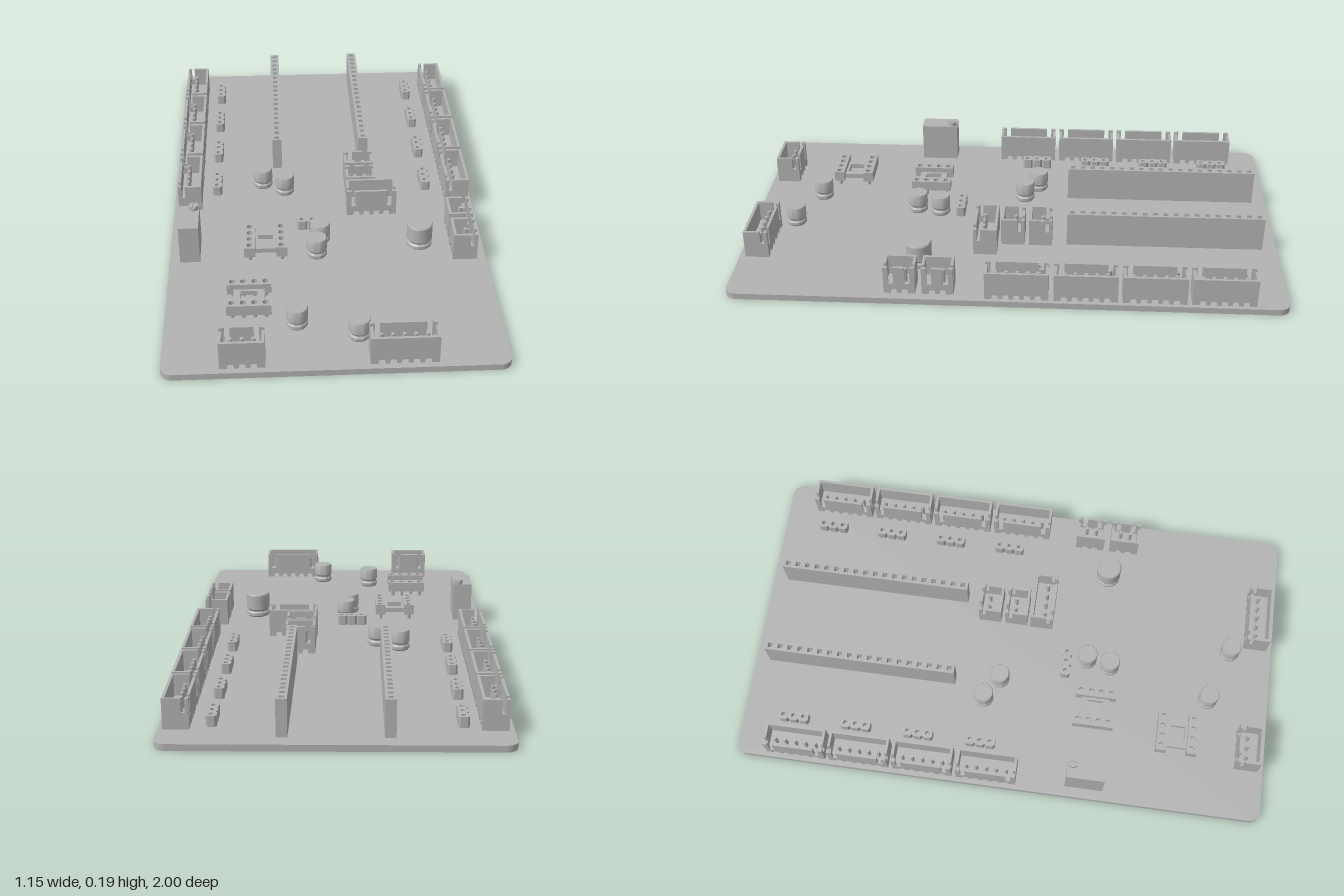
import * as THREE from 'three';
import { toCreasedNormals } from 'three/addons/utils/BufferGeometryUtils.js';

const BOARD = 0.023; // board thickness
const PITCH = 0.0386; // header pin spacing
const XH = 0.038; // plug socket pin spacing

export function createModel() {
  const grey = new THREE.MeshStandardMaterial({ color: 0xb2b2b2 });
  grey.name = 'plain grey';
  const model = new THREE.Group();
  model.name = 'circuitBoard';

  const add = (parent, name, geo, x = 0, y = 0, z = 0, ry = 0) => {
    const m = new THREE.Mesh(geo, grey);
    m.name = name;
    m.position.set(x, y, z);
    m.rotation.y = ry;
    parent.add(m);
    return m;
  };
  const group = (name, x, z, ry = 0, y = BOARD) => {
    const g = new THREE.Group();
    g.name = name;
    g.position.set(x, y, z);
    g.rotation.y = ry;
    model.add(g);
    return g;
  };
  const box = (w, h, d) => new THREE.BoxGeometry(w, h, d);
  const poly = pts => new THREE.Shape(pts.map(p => new THREE.Vector2(p[0], p[1])));
  // Extrude a plan shape upwards from y = 0
  const rise = (shape, depth) =>
    new THREE.ExtrudeGeometry(shape, { depth, bevelEnabled: false, curveSegments: 8 }).rotateX(-Math.PI / 2);
  const pinOffsets = (n, pitch) => Array.from({ length: n }, (_, i) => (i - (n - 1) / 2) * pitch);

  // Board with rounded corners
  const w = 0.575, l = 1, r = 0.04;
  const outline = new THREE.Shape();
  outline.absarc(w - r, l - r, r, 0, Math.PI / 2);
  outline.absarc(-w + r, l - r, r, Math.PI / 2, Math.PI);
  outline.absarc(-w + r, -l + r, r, Math.PI, Math.PI * 1.5);
  outline.absarc(w - r, -l + r, r, Math.PI * 1.5, Math.PI * 2);
  add(model, 'board', rise(outline, BOARD));

  // Upright wall with slots cut into its top and small notches at its foot
  const H = 0.106, T = 0.01;
  function wall(from, to, topSlots, slotFloor, footNotches) {
    const pts = [[from, 0]];
    for (const x of footNotches) pts.push([x - 0.012, 0], [x - 0.009, 0.016], [x + 0.009, 0.016], [x + 0.012, 0]);
    pts.push([to, 0], [to, H]);
    for (const [a, b] of [...topSlots].reverse()) pts.push([b, H], [b, slotFloor], [a, slotFloor], [a, H]);
    pts.push([from, H]);
    return new THREE.ExtrudeGeometry(poly(pts), { depth: T, bevelEnabled: false });
  }

  // Plug socket: slotted wall on local -z, pins along local x
  function plugSocket(n, x, z, ry) {
    const g = group('plugSocket' + n + 'Pin', x, z, ry);
    const half = ((n - 1) * XH + 0.0745) / 2;
    const zs = -0.036, zb = 0.052;
    const pins = pinOffsets(n, XH);
    const s = half - 0.027;
    add(g, 'slottedWall', wall(-half, half, [[-s - 0.009, -s + 0.009], [s - 0.009, s + 0.009]], 0.04, pins), 0, 0, zs);
    add(g, 'plainWall', wall(-half, half, [], 0, pins), 0, 0, zb - T);
    for (const side of [-1, 1]) {
      const end = wall(zs + T, zb - T, [[zs + 0.013, zs + 0.026]], 0.057, []).rotateY(-Math.PI / 2);
      add(g, 'endWall', end, side > 0 ? half : -half + T);
    }
    add(g, 'floor', box(2 * half - 2 * T, 0.014, zb - zs - 2 * T), 0, 0.023, (zs + zb) / 2);
    for (const p of pins) add(g, 'contactPin', new THREE.CylinderGeometry(0.007, 0.007, 0.055, 10), p, 0.055, 0);
  }
  const Q = Math.PI / 2;
  for (const z of [-0.77, -0.527, -0.284, -0.04]) {
    plugSocket(5, -0.521, z, Q);
    plugSocket(5, 0.508, z, Q);
  }
  plugSocket(2, 0.505, 0.24, -Q);
  plugSocket(2, 0.505, 0.376, -Q);
  plugSocket(2, 0.145, -0.122, 0);
  plugSocket(2, 0.145, -0.018, 0);
  plugSocket(4, 0.18, 0.098, Math.PI);
  plugSocket(3, -0.308, 0.926, 0);
  plugSocket(5, 0.222, 0.926, 0);

  // Long female headers with a row of square holes
  for (const x of [-0.174, 0.172]) {
    const g = group('longHeader', x, -0.579);
    const hl = (19 * PITCH) / 2, hw = 0.0185;
    const top = poly([[-hw, -hl], [hw, -hl], [hw, hl], [-hw, hl]]);
    for (const p of pinOffsets(19, PITCH)) {
      const a = 0.009;
      top.holes.push(new THREE.Path([[-a, p - a], [-a, p + a], [a, p + a], [a, p - a]].map(q => new THREE.Vector2(...q))));
    }
    add(g, 'headerBody', box(2 * hw, 0.092, 2 * hl), 0, 0.046, 0);
    add(g, 'headerTop', rise(top, 0.04), 0, 0.092, 0);
  }

  // Three-pin jumper headers with chamfered segments
  function jumper(x, z, ry) {
    const g = group('jumperHeader', x, z, ry);
    const h = PITCH / 2, c = 0.007, hw = 0.0185;
    for (const p of pinOffsets(3, PITCH)) {
      const s = poly([[-h + c, -hw], [h - c, -hw], [h, -hw + c], [h, hw - c], [h - c, hw], [-h + c, hw], [-h, hw - c], [-h, -hw + c]]);
      s.holes.push(new THREE.Path().absarc(0, 0, 0.0085, 0, Math.PI * 2, true));
      add(g, 'segment', rise(s, 0.038), p);
      add(g, 'segmentFloor', box(0.022, 0.012, 0.022), p, 0.0061, 0);
    }
  }
  for (const z of [-0.804, -0.563, -0.322, -0.081]) {
    jumper(-0.413, z, Q);
    jumper(0.405, z, Q);
  }
  jumper(-0.05, 0.206, 0);

  // Round capacitors with a crimped ring near the foot
  function capacitor(x, z, rad, h) {
    const profile = [[0, 0], [rad * 0.9, 0], [rad, 0.005], [rad, 0.016], [rad * 0.88, 0.022], [rad * 0.88, 0.025],
      [rad, 0.032], [rad, h - 0.005], [rad * 0.94, h], [0, h]].map(p => new THREE.Vector2(...p));
    add(model, 'capacitor', toCreasedNormals(new THREE.LatheGeometry(profile, 28), 0.5), x, BOARD, z);
  }
  for (const [x, z] of [[-0.233, -0.093], [-0.148, -0.042], [-0.024, 0.286], [-0.04, 0.376], [-0.124, 0.767], [0.082, 0.836]])
    capacitor(x, z, 0.037, 0.077);
  capacitor(0.341, 0.328, 0.047, 0.095);

  // Eight-pin chip sockets: two raised rails joined by low bars
  function chipSocket(x, z, ry) {
    const g = group('chipSocket', x, z, ry);
    const hl = 0.077, hw = 0.02;
    for (const side of [-1, 1]) {
      const rail = poly([[-hw, -hl], [hw, -hl], [hw, hl], [-hw, hl]]);
      for (const p of pinOffsets(4, PITCH)) {
        rail.holes.push(new THREE.Path().absarc(0, p, 0.011, 0, Math.PI * 2, true));
        add(g, 'contact', new THREE.CylinderGeometry(0.011, 0.011, 0.022, 12), side * 0.058, 0.034, p);
        add(g, 'leg', new THREE.CylinderGeometry(0.007, 0.007, 0.026, 10), side * 0.058, 0.013, p);
      }
      add(g, 'rail', rise(rail, 0.04), side * 0.058, 0.022, 0);
      add(g, 'crossBar', box(0.078, 0.018, 0.024), 0, 0.033, side * 0.042);
      add(g, 'innerLip', box(0.012, 0.018, 0.062), side * 0.034, 0.033, 0);
    }
  }
  chipSocket(-0.226, 0.337, 0);
  chipSocket(-0.286, 0.661, Q);

  // Tall trimmer with a slotted adjusting screw
  const trimmer = group('trimmer', -0.501, 0.332);
  add(trimmer, 'trimmerBody', box(0.072, 0.15, 0.144), 0, 0.075, 0);
  add(trimmer, 'screwBase', new THREE.CylinderGeometry(0.017, 0.017, 0.01, 20), 0.017, 0.155, -0.052);
  for (const side of [-1, 1]) {
    const half = new THREE.Shape().absarc(0, 0, 0.017, 0.2, Math.PI - 0.2);
    add(trimmer, 'screwHalf', rise(half, 0.008), 0.017, 0.159, -0.052, side * Q);
  }
  return model;
}
